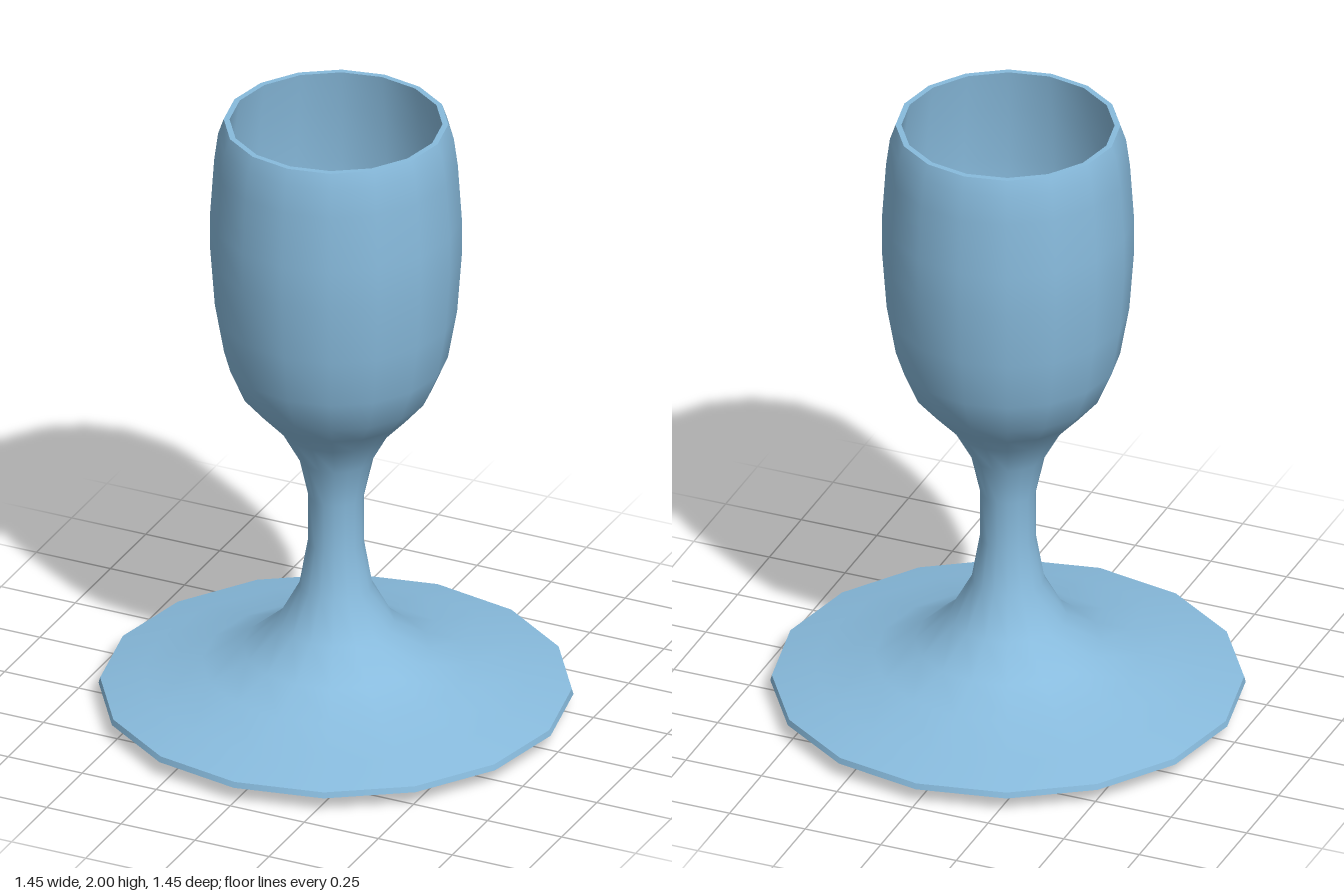
import * as THREE from 'three';

const SIDES = 16;

export function createModel() {
  const group = new THREE.Group();
  group.name = 'goblet';
  const blue = new THREE.MeshStandardMaterial({ color: 0x88bbdd });
  blue.name = 'pale blue';

  // Each part is a turned profile of [radius, height]; separate parts keep edges crisp
  const turn = (name, profile) => {
    const points = profile.map(([r, y]) => new THREE.Vector2(r, y));
    const mesh = new THREE.Mesh(new THREE.LatheGeometry(points, SIDES), blue);
    mesh.name = name;
    group.add(mesh);
  };

  // Slightly domed bottom of the foot
  turn('footUnderside', [[0, 0], [0.2, 0.01], [0.45, 0.022], [0.64, 0.038], [0.725, 0.05]]);

  // Thin edge around the foot
  turn('footEdge', [[0.725, 0.05], [0.72, 0.068]]);

  // Flared foot running up into the narrow stem
  // and the rounded outside of the cup
  turn('footStemAndCup', [
    [0.72, 0.068], [0.59, 0.1], [0.41, 0.14], [0.285, 0.195], [0.18, 0.285],
    [0.112, 0.41], [0.086, 0.56], [0.086, 0.72], [0.115, 0.85], [0.17, 0.95],
    [0.235, 1.02], [0.295, 1.09], [0.342, 1.2], [0.37, 1.36], [0.384, 1.55],
    [0.384, 1.68], [0.372, 1.86], [0.36, 1.95], [0.343, 2.0],
  ]);

  // Flat lip
  turn('lip', [[0.343, 2.0], [0.325, 2.0]]);

  // Hollow inside of the cup
  turn('cupInside', [
    [0.325, 2.0], [0.345, 1.86], [0.36, 1.68], [0.36, 1.55], [0.346, 1.36],
    [0.318, 1.22], [0.27, 1.12], [0.2, 1.05], [0.1, 1.01], [0, 1.0],
  ]);

  return group;
}
